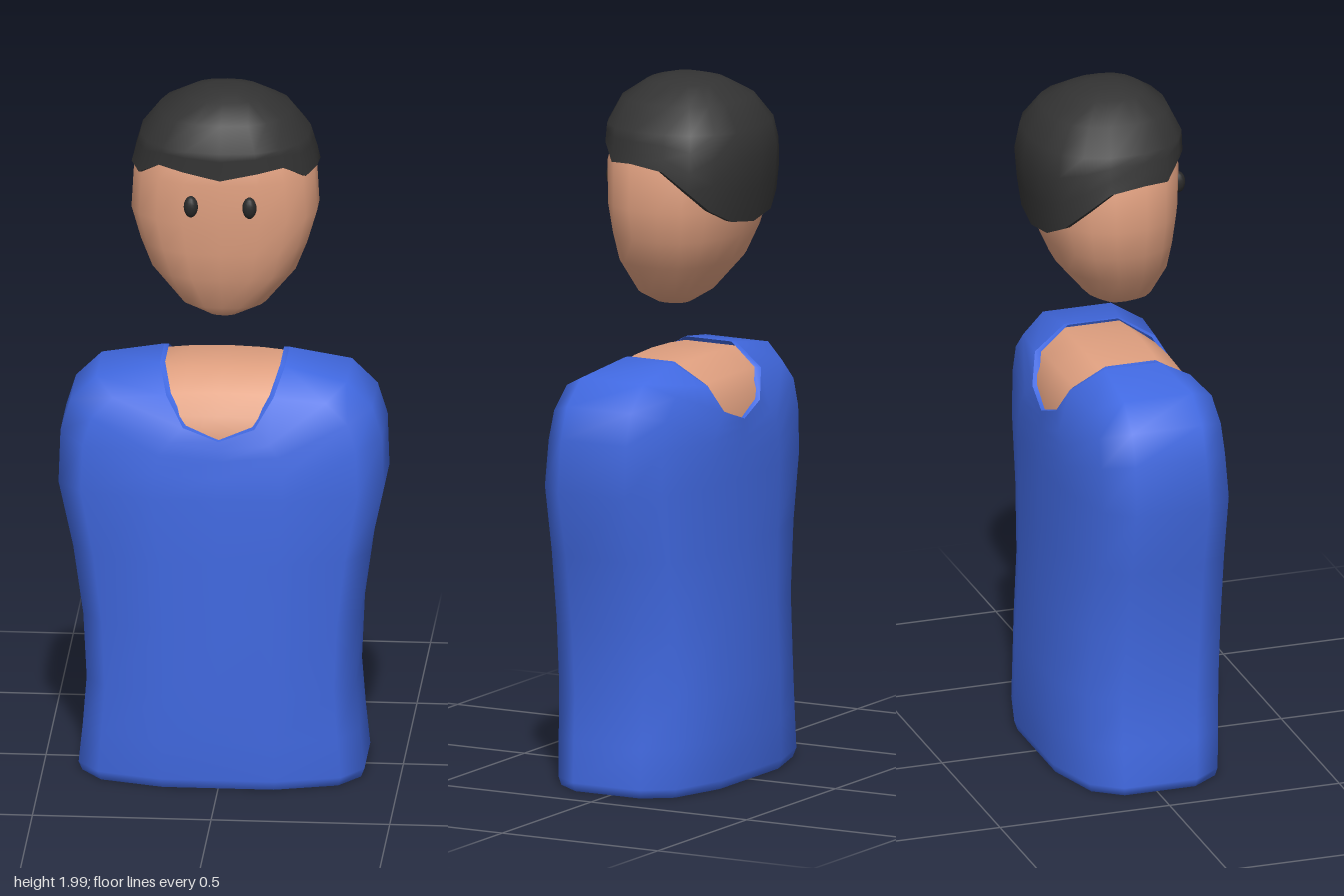
import * as THREE from 'three';

const { lerp } = THREE.MathUtils;
const material = (color, side = THREE.DoubleSide) => new THREE.MeshStandardMaterial({ color, side });

// Skins rows of [x, y, z] points; rows run upward, points run from the front toward +x
function loft(name, rows, mat, closed = true) {
  const n = rows[0].length, index = [];
  for (let i = 0; i < rows.length - 1; i++) {
    for (let j = 0; j < (closed ? n : n - 1); j++) {
      const a = i * n + j, b = i * n + (j + 1) % n;
      index.push(a, b, b + n, a, b + n, a + n);
    }
  }
  const geometry = new THREE.BufferGeometry();
  geometry.setAttribute('position', new THREE.Float32BufferAttribute(rows.flat(2), 3));
  geometry.setIndex(index);
  geometry.computeVertexNormals();
  const mesh = new THREE.Mesh(geometry, mat);
  mesh.name = name;
  return mesh;
}

// Completes a half ring (front centre to back centre) with its mirror image
const mirrorRing = half => [...half, ...half.slice(1, -1).reverse().map(([x, y, z]) => [-x, y, z])];

// Linear lookup in a table of [y, ...values]
function sample(table, y) {
  let i = 0;
  while (i < table.length - 2 && y > table[i + 1][0]) i++;
  const [a, b] = [table[i], table[i + 1]];
  const t = THREE.MathUtils.clamp((y - a[0]) / (b[0] - a[0]), 0, 1);
  return a.slice(1).map((v, k) => lerp(v, b[k + 1], t));
}

// Rounded-square cross-section of the head: half width, front z, back z
const SIDES = 18;
const angles = Array.from({ length: SIDES }, (_, i) => i / SIDES * Math.PI * 2);
const soft = v => Math.sign(v) * Math.abs(v) ** 0.84;
function headPoint(angle, y, [w, front, back]) {
  const mid = (front + back) / 2, half = (front - back) / 2;
  return [w * soft(Math.sin(angle)), y, mid + half * soft(Math.cos(angle))];
}

// Torso cross-section as a half ring
const SX = [0, 0.4, 0.85, 1, 1, 0.85, 0.42, 0];
const SZ = [1, 1, 0.79, 0.45, -0.45, -0.79, -1, -1];
const RISE = [0, 0.12, 0.78, 1, 1, 0.78, 0.12, 0];
function torsoRing([ySide, w, front, back, yCentre = ySide]) {
  const mid = (front + back) / 2, half = (front - back) / 2;
  return mirrorRing(SX.map((x, i) => [x * w, lerp(yCentre, ySide, RISE[i]), mid + half * SZ[i]]));
}

function createShirt(mat) {
  // side height, half width, front z, back z, height at the centre line
  const rings = [
    [0.01, 0.375, 0.23, -0.21], [0.01, 0.39, 0.24, -0.222], [0.035, 0.4, 0.246, -0.23],
    [0.15, 0.388, 0.252, -0.231], [0.29, 0.377, 0.256, -0.231], [0.48, 0.386, 0.259, -0.219],
    [0.68, 0.414, 0.261, -0.214], [0.87, 0.455, 0.263, -0.212], [1.02, 0.45, 0.252, -0.21, 0.93],
    [1.11, 0.422, 0.247, -0.208, 0.98], [1.18, 0.35, 0.24, -0.206, 1.01],
  ].map(torsoRing);
  // Scooped neckline with a thin turned-in edge
  const neck = mirrorRing([
    [0, 1.035, 0.235], [0.1, 1.07, 0.224], [0.15, 1.15, 0.18], [0.175, 1.21, 0.08],
    [0.175, 1.21, -0.08], [0.15, 1.15, -0.175], [0.1, 1.07, -0.2], [0, 1.035, -0.208],
  ]);
  const edge = neck.map(([x, y, z]) => [x * 0.92, y + 0.002, z * 0.92]);
  return loft('shirt', [...rings, neck, neck, edge], mat);
}

// Skin showing inside the neckline: an arch from chest to back
function createNeckSkin(mat) {
  const profile = [
    [0.225, 0.96], [0.221, 1.04], [0.205, 1.1], [0.165, 1.155], [0.09, 1.207],
    [-0.09, 1.207], [-0.16, 1.155], [-0.187, 1.1], [-0.197, 1.04], [-0.2, 0.96],
  ];
  const stations = [-0.18, -0.1, 0, 0.1, 0.18];
  const rows = profile.map(([z, y]) => stations.map(x => [x, y - 0.3 * x * x, z * (1 - 2 * x * x)]));
  return loft('neckSkin', rows, mat, false);
}

const HEAD = [
  [1.345, 0, 0.025, 0.015], [1.35, 0.045, 0.065, -0.03], [1.385, 0.12, 0.105, -0.085],
  [1.48, 0.203, 0.145, -0.165], [1.56, 0.236, 0.158, -0.2], [1.65, 0.263, 0.167, -0.224],
  [1.77, 0.256, 0.172, -0.23], [1.87, 0.215, 0.155, -0.215], [1.95, 0.11, 0.08, -0.12],
  [1.97, 0, -0.02, -0.03],
];
const HAIR = [
  [1.6, 0.272, 0.18, -0.237], [1.68, 0.27, 0.182, -0.25], [1.78, 0.264, 0.185, -0.265],
  [1.87, 0.238, 0.184, -0.25], [1.94, 0.185, 0.15, -0.2], [1.985, 0.105, 0.085, -0.125],
  [1.999, 0.05, 0.03, -0.07], [2, 0, -0.01, -0.02],
];
// Hairline height by turn from the front (0) to the back (1)
const HAIRLINE = [
  [0, 1.79], [0.14, 1.815], [0.22, 1.82], [0.34, 1.775], [0.5, 1.788], [0.6, 1.755],
  [0.72, 1.68], [0.86, 1.62], [1, 1.6],
];

function createHead(mat) {
  return loft('head', HEAD.map(([y, ...size]) => angles.map(a => headPoint(a, y, size))), mat);
}

function createHair(mat) {
  const lines = angles.map(a => sample(HAIRLINE, Math.min(a, Math.PI * 2 - a) / Math.PI)[0]);
  const ring = (table, t) => angles.map((a, i) => {
    const y = lerp(lines[i], 1.87, t);
    return headPoint(a, y, sample(table, y));
  });
  const rim = ring(HAIR, 0);
  const crown = HAIR.slice(4).map(([y, ...size]) => angles.map(a => headPoint(a, y, size)));
  return loft('hair', [ring(HEAD, 0), rim, rim, ring(HAIR, 0.35), ring(HAIR, 0.7), ring(HAIR, 1), ...crown], mat);
}

export function createModel() {
  const group = new THREE.Group();
  group.name = 'bust';
  const skin = material(0xe0a080), blue = material(0x4169e1);
  const dark = material(0x333333), eyeDark = material(0x2a2a2a, THREE.FrontSide);
  group.add(createShirt(blue), createNeckSkin(skin), createHead(skin), createHair(dark));

  // Eyes
  for (const side of [-1, 1]) {
    const eye = new THREE.Mesh(new THREE.SphereGeometry(1, 14, 10), eyeDark);
    eye.name = side > 0 ? 'leftEye' : 'rightEye';
    eye.scale.set(0.02, 0.031, 0.02);
    eye.position.set(side * 0.082, 1.707, 0.168);
    group.add(eye);
  }
  return group;
}
